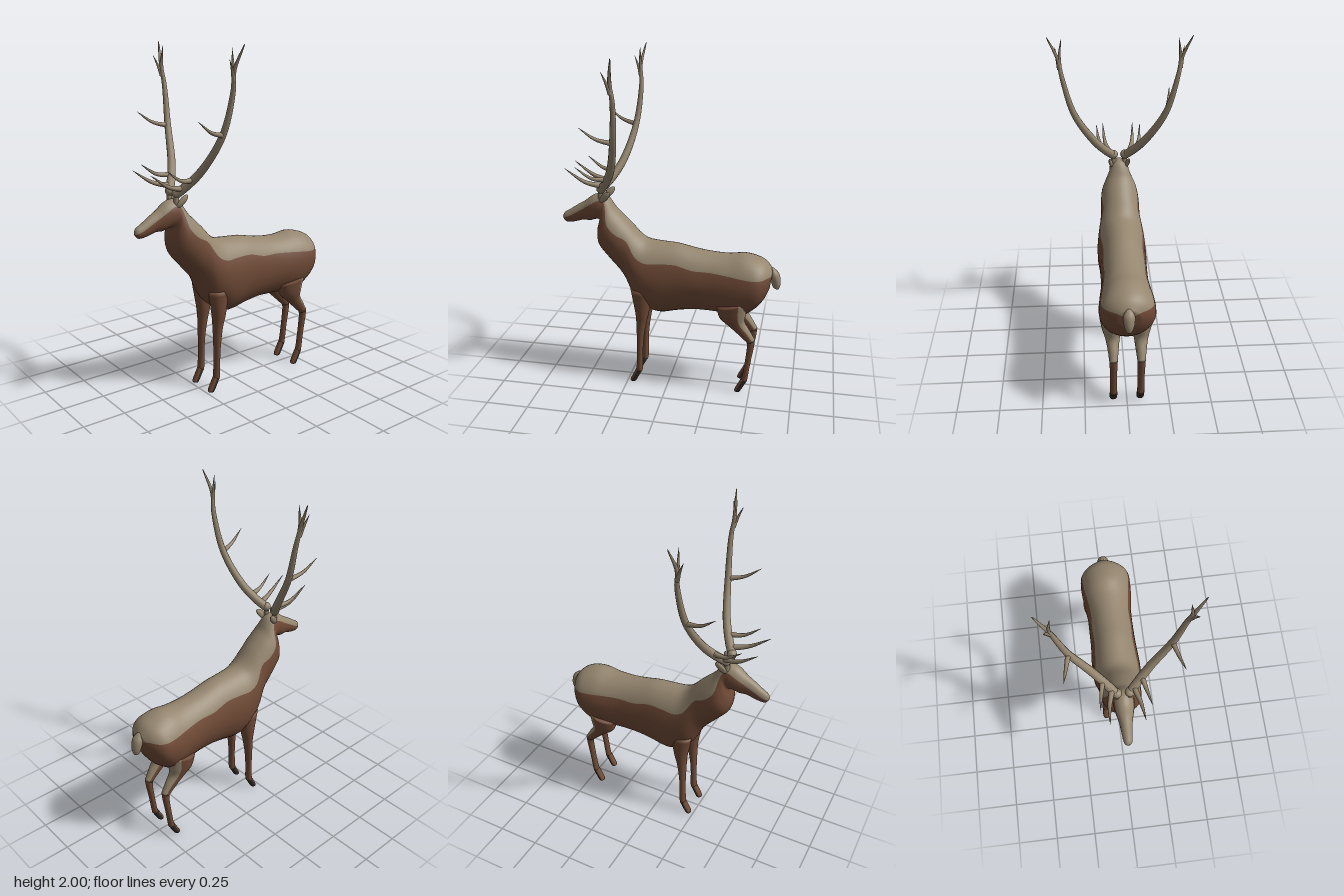
import * as THREE from 'three';

const mat = (name, color) => {
  const m = new THREE.MeshStandardMaterial({ color });
  m.name = name;
  return m;
};

// Smooth tube through sections [z1, y1, z2, y2, halfWidth, split, x].
// (z1, y1) is the upper/front edge and (z2, y2) the lower/back edge;
// split is the fraction of the way down where the second colour starts.
function loft(sections, side = 1, steps = 4) {
  const rows = [];
  const at = i => sections[Math.min(Math.max(i, 0), sections.length - 1)];
  const last = sections.length - 1;
  for (let k = 0; k <= last * steps; k++) {
    const i = Math.min(Math.floor(k / steps), last - 1), t = k / steps - i;
    rows.push(sections[0].map((_, c) => {
      const [a, b, d, e] = [-1, 0, 1, 2].map(o => at(i + o)[c]);
      return b + 0.5 * t * (d - a + t * (2 * a - 5 * b + 4 * d - e + t * (3 * (b - d) + e - a)));
    }));
  }
  const U = 14, L = 18, M = U + L, pos = [], upper = [], lower = [];
  for (const [z1, y1, z2, y2, w, split, x = 0] of rows) {
    const phi = Math.acos(1 - 2 * split);
    for (let j = 0; j < M; j++) {
      const a = j < U ? -phi + 2 * phi * j / U : phi + (2 * Math.PI - 2 * phi) * (j - U) / L;
      const c = Math.cos(a) / 2;
      pos.push(side * x + w * Math.sin(a), (y1 + y2) / 2 + (y1 - y2) * c, (z1 + z2) / 2 + (z1 - z2) * c);
    }
  }
  const n = rows.length;
  for (const [z1, y1, z2, y2, , , x = 0] of [rows[0], rows[n - 1]])
    pos.push(side * x, (y1 + y2) / 2, (z1 + z2) / 2);
  for (let j = 0; j < M; j++) {
    const out = j < U ? upper : lower, j2 = (j + 1) % M, e = (n - 1) * M;
    for (let i = 0; i < n - 1; i++) {
      const a = i * M + j, b = i * M + j2;
      out.push(a, a + M, b, b, a + M, b + M);
    }
    out.push(n * M, j, j2, n * M + 1, e + j2, e + j);
  }
  const g = new THREE.BufferGeometry();
  g.setAttribute('position', new THREE.Float32BufferAttribute(pos, 3));
  g.setIndex([...upper, ...lower]);
  g.addGroup(0, upper.length, 0);
  g.addGroup(upper.length, lower.length, 1);
  g.computeVertexNormals();
  return g;
}

// Tube through points, thinning towards its tip
function horn(points, radius, power, side, n = 24) {
  const curve = new THREE.CatmullRomCurve3(points.map(([x, y, z]) => new THREE.Vector3(x * side, y, z)));
  const g = new THREE.TubeGeometry(curve, n, radius, 10);
  const p = g.attributes.position, v = new THREE.Vector3();
  for (let i = 0; i < p.count; i++) {
    const u = Math.floor(i / 11) / n, c = curve.getPointAt(u);
    v.fromBufferAttribute(p, i).sub(c).multiplyScalar(Math.max(0.06, Math.pow(1 - u, power))).add(c);
    p.setXYZ(i, v.x, v.y, v.z);
  }
  return g;
}

export function createModel() {
  const model = new THREE.Group();
  const taupe = mat('taupe', 0x95866f);
  const brown = mat('brown', 0x6f4a36);
  const dark = mat('darkHoof', 0x322a26);
  const add = (name, geo, material, parent = model) => {
    const m = new THREE.Mesh(geo, material);
    m.name = name;
    parent.add(m);
    return m;
  };

  // Trunk, neck and head in one skin, with a pale back and a brown underside
  add('body', loft([
    [-0.605, 0.77, -0.59, 0.66, 0.06, 0.2],
    [-0.57, 0.815, -0.565, 0.60, 0.115, 0.3],
    [-0.52, 0.842, -0.52, 0.54, 0.153, 0.31],
    [-0.44, 0.86, -0.44, 0.48, 0.158, 0.28],
    [-0.35, 0.85, -0.35, 0.485, 0.15, 0.24],
    [-0.25, 0.855, -0.25, 0.49, 0.139, 0.23],
    [-0.15, 0.87, -0.15, 0.49, 0.138, 0.25],
    [-0.05, 0.892, -0.05, 0.475, 0.14, 0.22],
    [0.05, 0.90, 0.05, 0.455, 0.147, 0.22],
    [0.13, 0.91, 0.12, 0.475, 0.148, 0.25],
    [0.18, 0.94, 0.21, 0.55, 0.14, 0.27],
    [0.235, 1.0, 0.275, 0.68, 0.122, 0.24],
    [0.285, 1.05, 0.36, 0.78, 0.118, 0.33],
    [0.325, 1.09, 0.425, 0.86, 0.108, 0.33],
    [0.35, 1.13, 0.437, 0.94, 0.083, 0.25],
    [0.375, 1.162, 0.42, 1.01, 0.063, 0.22],
    [0.41, 1.175, 0.45, 1.015, 0.06, 0.22],
    [0.46, 1.162, 0.48, 1.005, 0.053, 0.3],
    [0.51, 1.125, 0.525, 1.005, 0.04, 0.35],
    [0.56, 1.095, 0.57, 0.992, 0.033, 0.4],
    [0.605, 1.065, 0.61, 0.985, 0.028, 0.45],
    [0.638, 1.045, 0.633, 0.988, 0.022, 0.5],
    [0.65, 1.025, 0.648, 1.005, 0.009, 0.6],
  ]), [taupe, brown]);

  add('tail', loft([
    [-0.598, 0.785, -0.612, 0.78, 0.012, 0.5],
    [-0.585, 0.745, -0.64, 0.752, 0.032, 0.5],
    [-0.595, 0.70, -0.652, 0.70, 0.029, 0.5],
    [-0.61, 0.665, -0.645, 0.66, 0.018, 0.5],
    [-0.625, 0.655, -0.635, 0.653, 0.006, 0.5],
  ]), [taupe, taupe]);

  for (const side of [1, -1]) {
    const label = side > 0 ? 'left' : 'right';
    const part = name => label + name;

    // Front leg
    add(part('FrontLeg'), loft([
      [0.225, 0.62, 0.09, 0.62, 0.052, 0.5, 0.08],
      [0.2, 0.48, 0.115, 0.47, 0.043, 0.5, 0.078],
      [0.193, 0.40, 0.132, 0.40, 0.034, 0.5, 0.077],
      [0.191, 0.30, 0.148, 0.30, 0.027, 0.5, 0.079],
      [0.19, 0.20, 0.155, 0.20, 0.023, 0.5, 0.08],
      [0.195, 0.10, 0.156, 0.10, 0.023, 0.5, 0.08],
      [0.197, 0.08, 0.16, 0.07, 0.022, 0.5, 0.08],
    ], side), [brown, brown]);

    // Hind leg: thigh pale at the back, then the shin
    add(part('Thigh'), loft([
      [-0.29, 0.56, -0.48, 0.60, 0.07, 0.72, 0.085],
      [-0.31, 0.485, -0.465, 0.515, 0.057, 0.72, 0.085],
      [-0.37, 0.43, -0.46, 0.46, 0.042, 0.72, 0.082],
      [-0.43, 0.375, -0.492, 0.405, 0.031, 0.72, 0.08],
      [-0.478, 0.33, -0.523, 0.35, 0.024, 0.72, 0.08],
    ], side), [brown, taupe]);
    add(part('HindShin'), loft([
      [-0.474, 0.335, -0.523, 0.35, 0.023, 0.5, 0.08],
      [-0.478, 0.30, -0.518, 0.30, 0.022, 0.5, 0.08],
      [-0.468, 0.20, -0.502, 0.20, 0.02, 0.5, 0.08],
      [-0.455, 0.10, -0.489, 0.10, 0.021, 0.5, 0.08],
      [-0.448, 0.08, -0.484, 0.07, 0.021, 0.5, 0.08],
    ], side), [brown, brown]);

    // Hooves, brown in front and dark behind
    for (const [name, z] of [['FrontHoof', 0], ['HindHoof', -0.645]])
      add(part(name), loft([
        [z + 0.197, 0.085, z + 0.159, 0.075, 0.022, 0.3, 0.08],
        [z + 0.214, 0.05, z + 0.175, 0.045, 0.023, 0.3, 0.08],
        [z + 0.233, 0.012, z + 0.195, 0.008, 0.022, 0.3, 0.08],
        [z + 0.234, 0, z + 0.2, 0, 0.019, 0.3, 0.08],
      ], side), [brown, dark]);

    // Ear
    const ear = add(part('Ear'), new THREE.SphereGeometry(1, 16, 12), taupe);
    ear.scale.set(0.012, 0.046, 0.02);
    ear.position.set(side * 0.052, 1.165, 0.378);
    ear.quaternion.setFromUnitVectors(new THREE.Vector3(0, 1, 0),
      new THREE.Vector3(side * 0.015, 0.06, -0.055).normalize());

    // Antler with burr, beam, forward tines and forked top
    const antler = new THREE.Group();
    antler.name = part('Antler');
    model.add(antler);
    add('pedicle', new THREE.CylinderGeometry(0.014, 0.016, 0.06, 12), taupe, antler)
      .position.set(side * 0.034, 1.18, 0.405);
    const burr = add('burr', new THREE.SphereGeometry(0.027, 16, 12), taupe, antler);
    burr.position.set(side * 0.034, 1.212, 0.402);
    add('beam', horn([[0.035, 1.205, 0.405], [0.085, 1.26, 0.36], [0.155, 1.35, 0.31], [0.265, 1.54, 0.26],
      [0.325, 1.765, 0.24], [0.345, 1.87, 0.247], [0.40, 2.0, 0.225]], 0.026, 0.5, side, 48), taupe, antler);
    const tines = [
      ['browTine', [0.06, 1.235, 0.385], [0.083, 1.26, 0.48], [0.093, 1.337, 0.597], 0.017],
      ['secondTine', [0.105, 1.285, 0.345], [0.122, 1.295, 0.43], [0.134, 1.357, 0.522], 0.016],
      ['middleTine', [0.265, 1.535, 0.26], [0.285, 1.56, 0.35], [0.30, 1.622, 0.438], 0.015],
      ['innerFork', [0.337, 1.83, 0.246], [0.335, 1.89, 0.248], [0.323, 1.98, 0.245], 0.012],
      ['frontFork', [0.338, 1.81, 0.246], [0.349, 1.865, 0.263], [0.36, 1.925, 0.288], 0.012],
    ];
    for (const [name, a, b, c, r] of tines)
      add(name, horn([a, b, c], r, 0.75, side, 14), taupe, antler);
  }
  return model;
}
